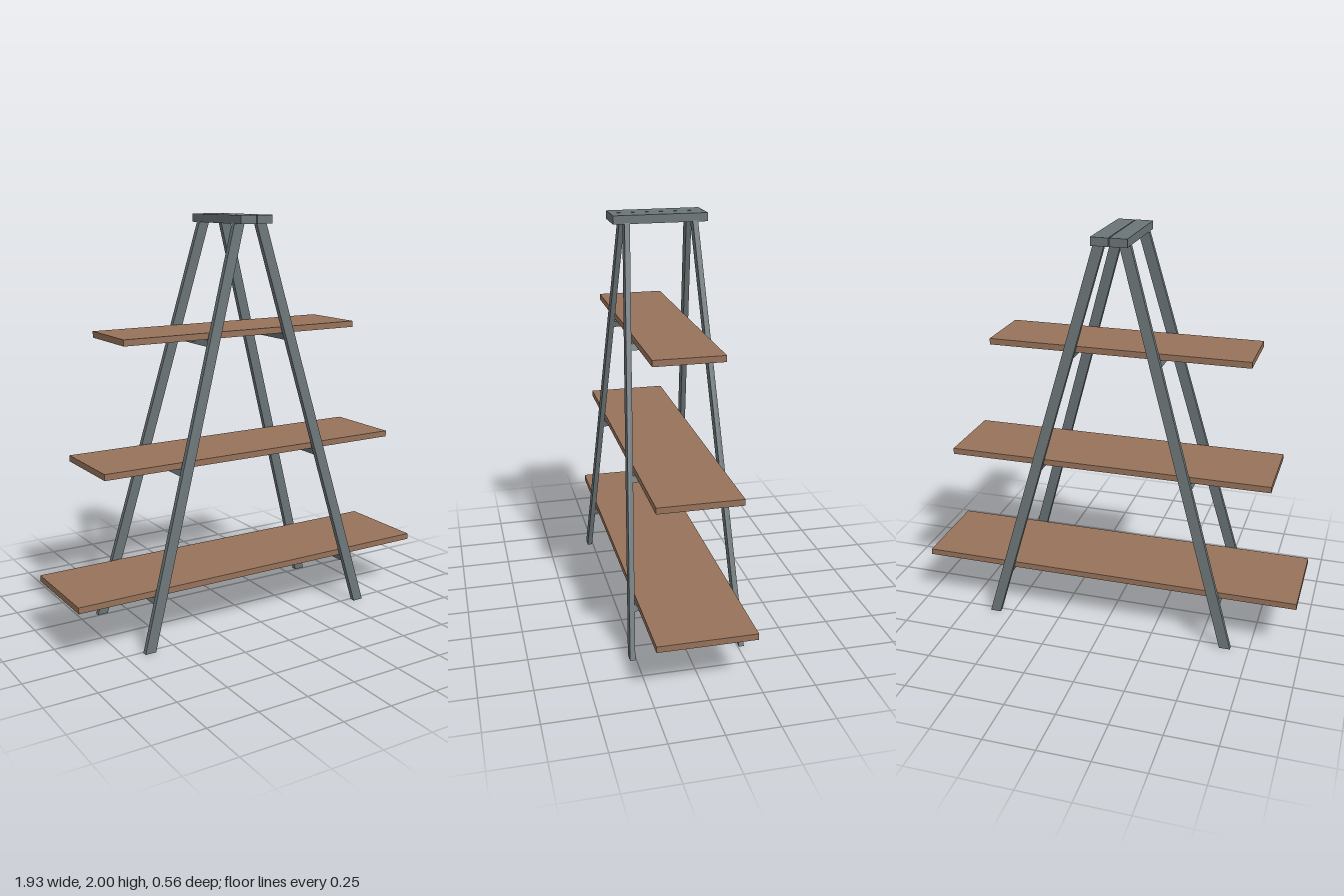
import * as THREE from 'three';

const CX = -0.02; // centre line of the A-frames
const TOP_Y = 1.965;

// Centre of a leg at a height, as distance from the centre line and from the mid plane
const legX = (y) => THREE.MathUtils.lerp(0.612, 0.06, y / TOP_Y);
const legZ = (y) => THREE.MathUtils.lerp(0.268, 0.162, y / TOP_Y);

// Box of size w x h x d whose ends are slid to the given lower and upper centres
function leaningBox(w, d, low, high) {
  const geo = new THREE.BoxGeometry(w, 1, d);
  const p = geo.attributes.position;
  for (let i = 0; i < p.count; i++) {
    const c = p.getY(i) < 0 ? low : high;
    p.setXYZ(i, p.getX(i) + c[0], c[1], p.getZ(i) + c[2]);
  }
  geo.computeVertexNormals();
  return geo;
}

export function createModel() {
  const model = new THREE.Group();
  model.name = 'ladderShelf';
  const steel = new THREE.MeshStandardMaterial({ color: 0x6b7578 });
  steel.name = 'grey paint';
  const wood = new THREE.MeshStandardMaterial({ color: 0x96725a });
  wood.name = 'brown wood';

  const add = (name, geo, material) => {
    const mesh = new THREE.Mesh(geo, material);
    mesh.name = name;
    model.add(mesh);
    return mesh;
  };

  // Four splayed legs
  for (const sx of [-1, 1]) {
    for (const sz of [-1, 1]) {
      const at = (y) => [CX + sx * legX(y), y, sz * legZ(y)];
      add((sz > 0 ? 'front' : 'back') + (sx > 0 ? 'Left' : 'Right') + 'Leg',
        leaningBox(0.054, 0.025, at(0), at(TOP_Y)), steel);
    }
    // Cap plank, one for each ladder half
    add('capPlank', new THREE.BoxGeometry(0.085, 0.04, 0.45), steel)
      .position.set(CX + sx * 0.0445, 1.98, 0.003);
  }

  // Shelves: left end, right end, underside height, half depth, cleat half length
  const shelves = [
    [-0.965, 0.965, 0.255, 0.233, 0.12],
    [-0.805, 0.815, 0.843, 0.2, 0.09],
    [-0.68, 0.6, 1.435, 0.167, 0.058],
  ];
  for (const [x0, x1, y, halfDepth, cleat] of shelves) {
    add('shelf', new THREE.BoxGeometry(x1 - x0, 0.03, halfDepth * 2), wood)
      .position.set((x0 + x1) / 2, y + 0.015, 0);

    for (const sx of [-1, 1]) {
      // Rung between front and back legs, under the shelf
      const low = y - 0.033, high = y - 0.003;
      add('rung', leaningBox(0.045, legZ(y) * 2 - 0.02,
        [CX + sx * legX(low), low, 0], [CX + sx * legX(high), high, 0]), steel);

      // Wooden cleat that hooks the shelf outside the rung
      const edge = CX + sx * (legX(y) + 0.036);
      add('cleat', leaningBox(0.034, cleat * 2,
        [edge + sx * 0.01, y - 0.023, 0], [edge, y, 0]), wood);
    }
  }
  return model;
}
